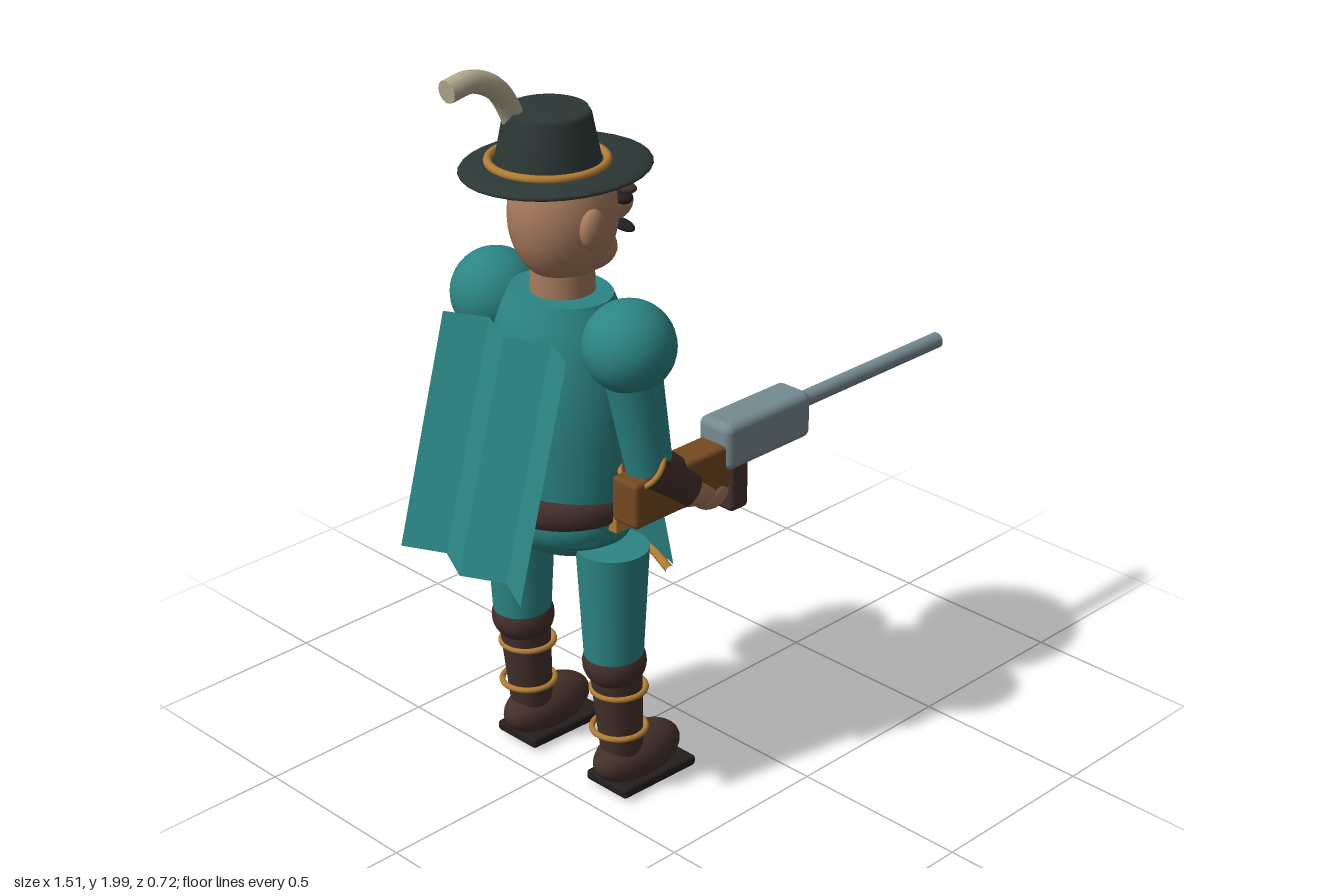
import * as THREE from 'three';
import { RoundedBoxGeometry } from 'three/addons/geometries/RoundedBoxGeometry.js';

const mat = (name, color, side = THREE.FrontSide) => {
  const m = new THREE.MeshStandardMaterial({ color, side });
  m.name = name;
  return m;
};

export function createModel() {
  const root = new THREE.Group();
  root.name = 'hunter';
  const teal = mat('teal cloth', 0x2b8584, THREE.DoubleSide);
  const brown = mat('dark leather', 0x44302a);
  const skin = mat('skin', 0xa67a5c);
  const felt = mat('hat felt', 0x2c3836);
  const gold = mat('gold trim', 0xb07c34);
  const plume = mat('feather', 0xb5aa90);
  const steel = mat('steel', 0x768a92);
  const wood = mat('wood', 0x75491f);
  const black = mat('sole and hair', 0x231f1e);

  const V = (x, y, z) => new THREE.Vector3(x, y, z);
  const add = (name, geo, m, x = 0, y = 0, z = 0, parent = root) => {
    const mesh = new THREE.Mesh(geo, m);
    mesh.name = name;
    mesh.position.set(x, y, z);
    parent.add(mesh);
    return mesh;
  };
  const ball = (name, m, x, y, z, rx, ry = rx, rz = rx, parent = root) => {
    const b = add(name, new THREE.SphereGeometry(1, 32, 20), m, x, y, z, parent);
    b.scale.set(rx, ry, rz);
    return b;
  };
  // Tapered cylinder between two points
  const limb = (name, m, a, b, ra, rb, parent = root) => {
    const mid = a.clone().add(b).multiplyScalar(0.5);
    const c = add(name, new THREE.CylinderGeometry(rb, ra, a.distanceTo(b), 28), m, mid.x, mid.y, mid.z, parent);
    c.quaternion.setFromUnitVectors(V(0, 1, 0), b.clone().sub(a).normalize());
    return c;
  };
  const ring = (name, m, x, y, z, R, t, parent = root) => {
    const r = add(name, new THREE.TorusGeometry(R, t, 10, 40), m, x, y, z, parent);
    r.rotation.x = Math.PI / 2;
    return r;
  };
  const tube = (name, m, pts, r) =>
    add(name, new THREE.TubeGeometry(new THREE.CatmullRomCurve3(pts), 28, r, 12), m);
  // Pleated sheet spanning two matching rows of points
  const sheet = (name, m, top, bottom) => {
    const pos = [];
    for (let i = 0; i < top.length - 1; i++) {
      for (const p of [top[i], bottom[i], bottom[i + 1], top[i], bottom[i + 1], top[i + 1]]) pos.push(p.x, p.y, p.z);
    }
    const g = new THREE.BufferGeometry();
    g.setAttribute('position', new THREE.Float32BufferAttribute(pos, 3));
    g.computeVertexNormals();
    return add(name, g, m);
  };
  const lathe = (pts) => new THREE.LatheGeometry(pts.map(([r, y]) => new THREE.Vector2(r, y)), 40);
  const cx = -0.395;

  // Torso, hips and belt
  const curve = new THREE.SplineCurve([[0.15, 0.74], [0.165, 0.9], [0.173, 1.1], [0.155, 1.27], [0.118, 1.385]]
    .map(([r, y]) => new THREE.Vector2(r, y))).getPoints(24);
  add('torso', lathe([[0, 0.74], ...curve.map((p) => [p.x, p.y])]), teal, cx).scale.z = 1.22;
  const lid = add('torsoTop', new THREE.CircleGeometry(0.118, 40), teal, cx, 1.385);
  lid.rotation.x = -Math.PI / 2;
  lid.scale.y = 1.22;
  ball('hips', teal, cx, 0.79, 0, 0.165, 0.125, 0.19);
  add('belt', lathe([[0.15, 0.8], [0.185, 0.802], [0.198, 0.815], [0.201, 0.838], [0.198, 0.862], [0.185, 0.875], [0.15, 0.877]]),
    brown, cx).scale.z = 1.03;
  add('beltBuckle', new THREE.BoxGeometry(0.09, 0.055, 0.03), gold, -0.375, 0.815, 0.2);

  // Cape and front panel
  const zs = [-0.225, -0.1125, 0, 0.1125, 0.225];
  const capeRow = (x, y) => zs.map((z, i) => V(x + (i % 2) * 0.055, y, z));
  sheet('cape', teal, capeRow(-0.59, 1.315), capeRow(-0.757, 0.715));
  const pz = [-0.18, -0.09, -0.022, 0, 0.022, 0.09, 0.18];
  const arch = (z) => 0.635 - 0.04 * (z / 0.18) ** 2;
  const fold = (z) => (z === 0 ? -0.03 : 0);
  sheet('frontPanel', teal, pz.map((z) => V(-0.27, 1.06, z * 0.92)), pz.map((z) => V(-0.182 + fold(z), arch(z), z)));
  tube('panelTrim', gold, pz.map((z) => V(-0.176 - 0.5 * (0.635 - arch(z)), arch(z) - 0.01, z)), 0.012);

  for (const s of [1, -1]) {
    const side = s > 0 ? 'right' : 'left';
    // Legs
    const leg = new THREE.Group();
    leg.name = side + 'Leg';
    root.add(leg);
    const z = s * 0.175;
    limb('thigh', teal, V(cx, 0.4, z), V(cx, 0.73, z), 0.077, 0.095, leg);
    ball('knee', brown, -0.393, 0.395, z, 0.084, 0.075, 0.084, leg);
    limb('shin', brown, V(-0.367, 0.1, z), V(-0.39, 0.39, z), 0.056, 0.07, leg);
    ring('upperStrap', gold, -0.379, 0.31, z, 0.071, 0.008, leg);
    ring('lowerStrap', gold, -0.379, 0.19, z, 0.071, 0.008, leg);
    ball('shoe', brown, -0.315, 0.088, z, 0.143, 0.072, 0.076, leg);
    const sole = add('sole', new RoundedBoxGeometry(0.265, 0.03, 0.15, 2, 0.01), black, -0.298, 0.026, z, leg);
    sole.rotation.z = -0.03;

    // Arms
    const arm = new THREE.Group();
    arm.name = side + 'Arm';
    root.add(arm);
    const az = s * 0.262;
    const elbow = V(-0.375, 0.985, az), wrist = V(-0.235, 0.872, az);
    ball('shoulder', teal, -0.397, 1.305, s * 0.243, 0.118, 0.118, 0.118, arm);
    limb('upperArm', teal, V(-0.35, 0.97, az), V(-0.4, 1.27, s * 0.25), 0.06, 0.075, arm);
    limb('gauntlet', brown, elbow, wrist, 0.068, 0.062, arm);
    const cuff = add('gauntletCuff', new THREE.TorusGeometry(0.065, 0.007, 10, 32), gold, elbow.x, elbow.y, elbow.z, arm);
    cuff.quaternion.setFromUnitVectors(V(0, 0, 1), wrist.clone().sub(elbow).normalize());
    limb('wrist', skin, wrist, V(-0.145, 0.835, az), 0.055, 0.045, arm);
    ball('hand', skin, -0.14, 0.832, az, 0.058, 0.056, 0.05, arm);

    // Eyes and brows
    ball('eye', black, -0.268, 1.615, s * 0.092, 0.024, 0.015, 0.025);
    ball('brow', brown, -0.265, 1.643, s * 0.094, 0.024, 0.014, 0.036);
    const tache = ball('moustacheHalf', black, -0.228, 1.522, 0.012 + s * 0.036, 0.02, 0.013, 0.04);
    tache.rotation.x = s * 0.15;
  }

  // Head
  limb('neck', skin, V(-0.39, 1.36, 0), V(-0.39, 1.47, 0), 0.083, 0.08);
  ball('head', skin, -0.385, 1.585, 0, 0.142, 0.178, 0.134);
  ball('jaw', skin, -0.32, 1.475, 0, 0.088, 0.058, 0.085);
  ball('ear', skin, -0.41, 1.582, 0.133, 0.038, 0.052, 0.026);
  ball('nose', skin, -0.228, 1.573, 0.018, 0.056, 0.046, 0.038);

  // Hat with feather
  ball('hatBrim', felt, -0.405, 1.712, 0, 0.253, 0.027, 0.222);
  add('hatCrown', lathe([[0.13, 1.7], [0.13, 1.74], [0.108, 1.852], [0.1, 1.866], [0, 1.867]]), felt, -0.43);
  ring('hatBand', gold, -0.432, 1.735, 0, 0.146, 0.011);
  const path = [V(-0.71, 1.962, -0.04), V(-0.635, 1.97, -0.04), V(-0.56, 1.935, -0.04), V(-0.515, 1.87, -0.04), V(-0.49, 1.8, -0.04)];
  tube('feather', plume, path, 0.029);
  const tip = add('featherTip', new THREE.CircleGeometry(0.029, 12), plume, -0.71, 1.962, -0.04);
  tip.quaternion.setFromUnitVectors(V(0, 0, 1), new THREE.CatmullRomCurve3(path).getTangent(0).negate());

  // Gun
  const gun = new THREE.Group();
  gun.name = 'gun';
  gun.position.z = 0.263;
  root.add(gun);
  add('receiver', new RoundedBoxGeometry(0.315, 0.13, 0.115, 4, 0.024), steel, 0.033, 0.95, 0, gun);
  limb('barrel', steel, V(0.15, 0.965, 0), V(0.757, 0.965, 0), 0.022, 0.022, gun);
  add('stock', new RoundedBoxGeometry(0.34, 0.125, 0.09, 2, 0.012), wood, -0.27, 0.897, 0, gun);
  add('grip', new RoundedBoxGeometry(0.066, 0.17, 0.076, 3, 0.015), brown, -0.058, 0.838, 0, gun);

  return root;
}
